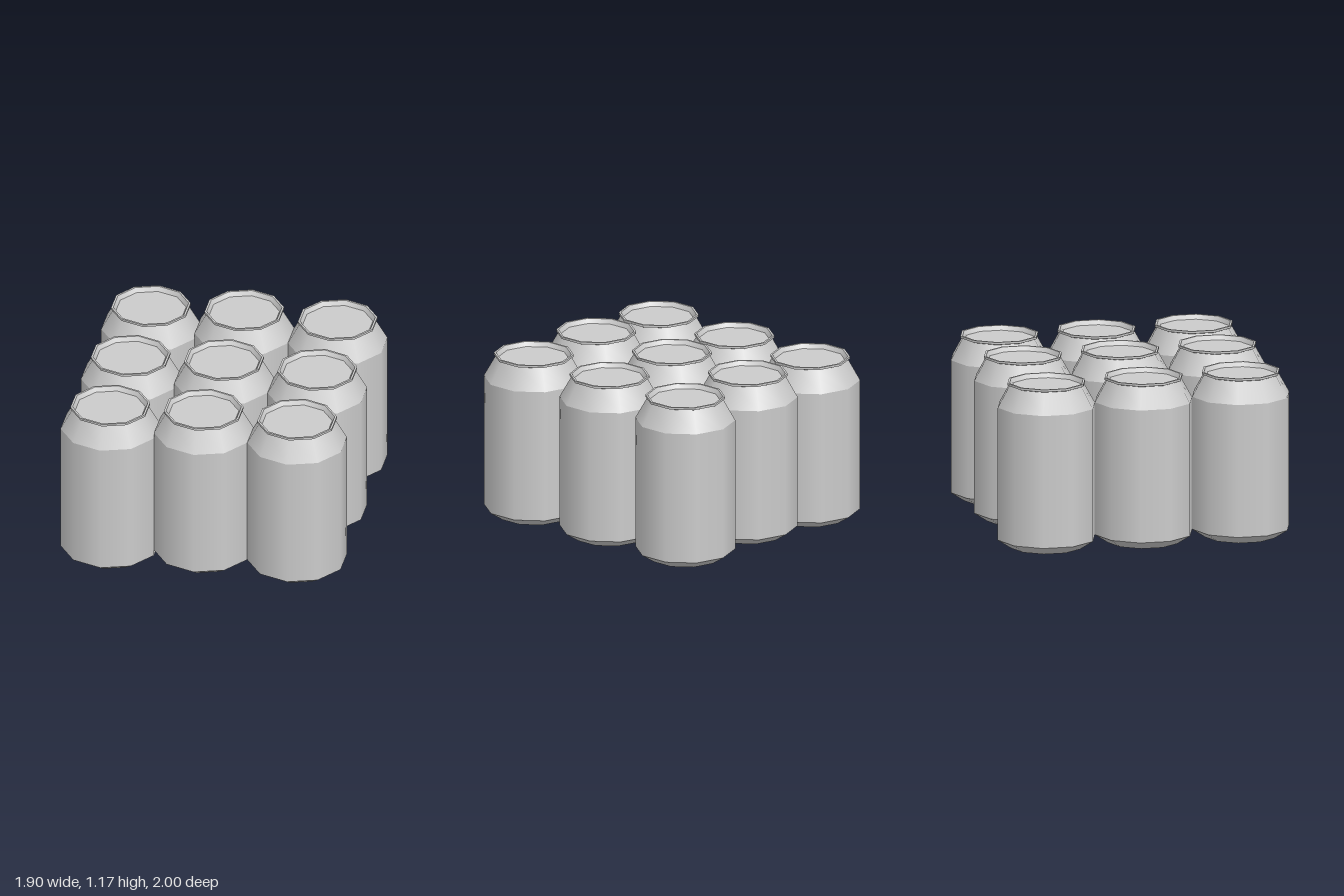
import * as THREE from 'three';
import { mergeGeometries } from 'three/addons/utils/BufferGeometryUtils.js';

const SIDES = 10;
const RADIUS = 0.333;
const RAISE = 0.043; // two columns stand slightly higher than the third

// One lathe per band: smooth around the can, sharp between bands
function bands(profile) {
  const parts = [];
  for (let i = 0; i < profile.length - 1; i++) {
    const pair = [profile[i], profile[i + 1]].map(([r, y]) => new THREE.Vector2(r, y));
    parts.push(new THREE.LatheGeometry(pair, SIDES));
  }
  return mergeGeometries(parts);
}

export function createModel() {
  const model = new THREE.Group();
  model.name = 'cans';
  const material = new THREE.MeshStandardMaterial({ color: 0xcccccc });

  const parts = {
    // flat base and bevelled foot
    base: bands([[0, 0], [0.241, 0], [RADIUS, 0.06]]),
    // straight wall
    body: bands([[RADIUS, 0.06], [RADIUS, 0.962]]),
    // tapered shoulder
    shoulder: bands([[RADIUS, 0.962], [0.253, 1.105]]),
    // rolled rim, outside to inside
    rim: bands([[0.253, 1.105], [0.266, 1.11], [0.266, 1.125], [0.252, 1.125], [0.235, 1.095]]),
    // sunken lid
    lid: bands([[0.235, 1.095], [0, 1.095]]),
  };

  // Three by three block, packed flat to flat in x and corner to corner in z
  const stepX = 2 * RADIUS * Math.cos(Math.PI / SIDES);
  const stepZ = 2 * RADIUS;
  for (let col = -1; col <= 1; col++) {
    for (let row = -1; row <= 1; row++) {
      const can = new THREE.Group();
      can.name = 'can';
      for (const [name, geometry] of Object.entries(parts)) {
        const mesh = new THREE.Mesh(geometry, material);
        mesh.name = name;
        can.add(mesh);
      }
      can.position.set(col * stepX, col < 0 ? 0 : RAISE, row * stepZ);
      model.add(can);
    }
  }
  return model;
}
